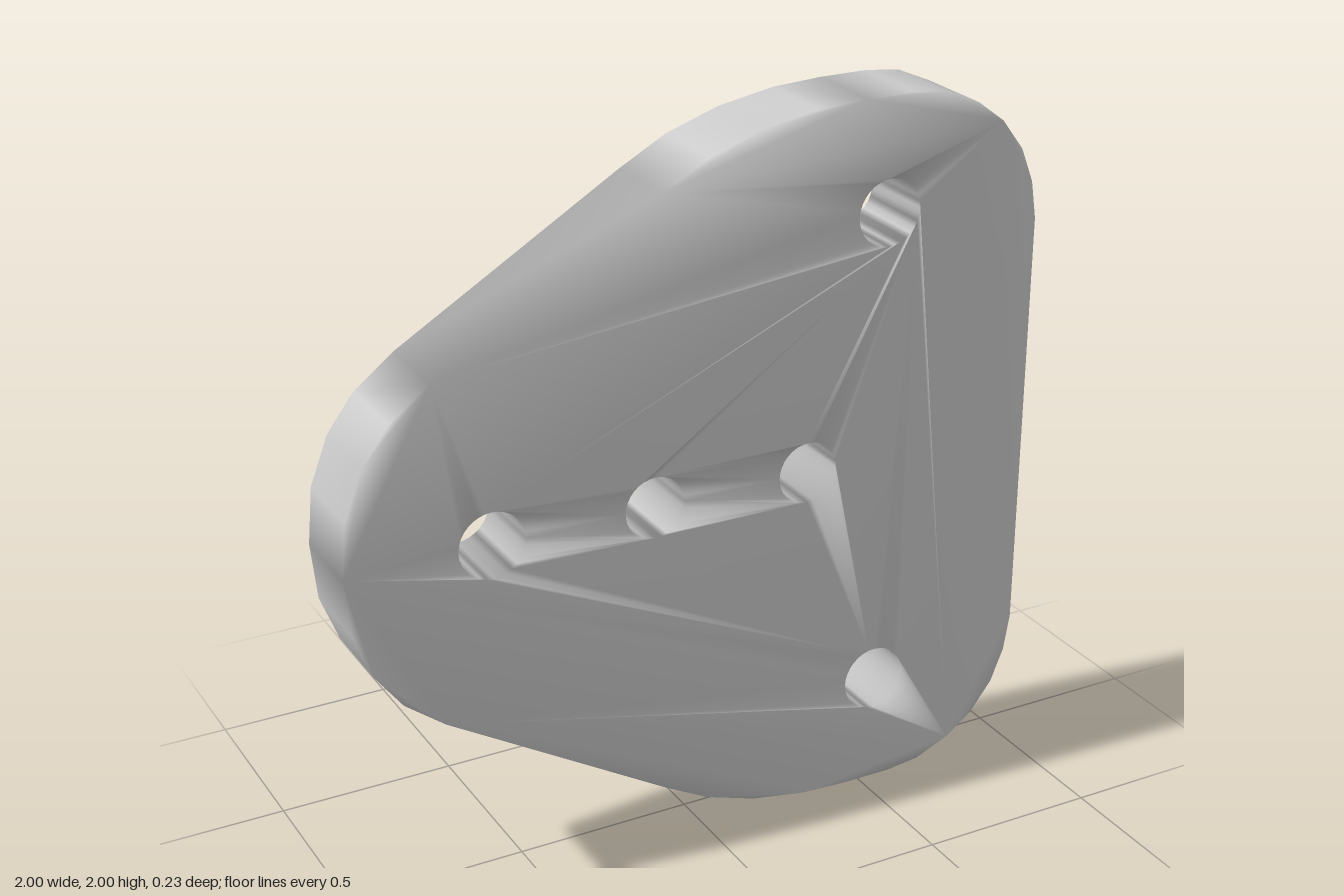
import * as THREE from 'three';
import { mergeVertices } from 'three/addons/utils/BufferGeometryUtils.js';

const THICKNESS = 0.23;

// Upper half of the rounded triangular outline, from the left tip to the right edge
const upperHalf = [
  [-0.985, 1.155], [-0.935, 1.285], [-0.86, 1.385], [-0.75, 1.47],
  [-0.12, 1.845], [0.01, 1.915], [0.16, 1.965], [0.32, 1.993], [0.46, 2],
  [0.6, 2], [0.7, 1.988], [0.8, 1.945], [0.88, 1.885], [0.945, 1.8],
  [0.983, 1.705], [1, 1.6],
];

// Through holes: x, y, radius
const holes = [
  [-0.603, 1.003, 0.092], [-0.145, 1.003, 0.086], [0.31, 1.003, 0.086],
  [0.54, 1.688, 0.092], [0.54, 0.319, 0.092],
];

function plateShape() {
  const upper = upperHalf.map(([x, y]) => new THREE.Vector2(x, y));
  const lower = upper.map((p) => new THREE.Vector2(p.x, 2 - p.y)).reverse();
  const shape = new THREE.Shape([new THREE.Vector2(-1, 1), ...upper, ...lower].reverse());
  for (const [x, y, r] of holes) {
    shape.holes.push(new THREE.Path().absarc(x, y, r, 0, Math.PI * 2, true));
  }
  return shape;
}

export function createModel() {
  const group = new THREE.Group();
  group.name = 'mountingPlate';

  // Flat plate with softly shaded rims: shared vertices give smooth normals
  let geometry = new THREE.ExtrudeGeometry(plateShape(), {
    depth: THICKNESS, bevelEnabled: false, curveSegments: 16,
  });
  geometry.translate(0, 0, -THICKNESS / 2);
  geometry.deleteAttribute('normal');
  geometry.deleteAttribute('uv');
  geometry = mergeVertices(geometry, 1e-4);
  geometry.computeVertexNormals();

  const plate = new THREE.Mesh(geometry, new THREE.MeshStandardMaterial({ color: 0xcccccc }));
  plate.name = 'plate';
  group.add(plate);
  return group;
}
